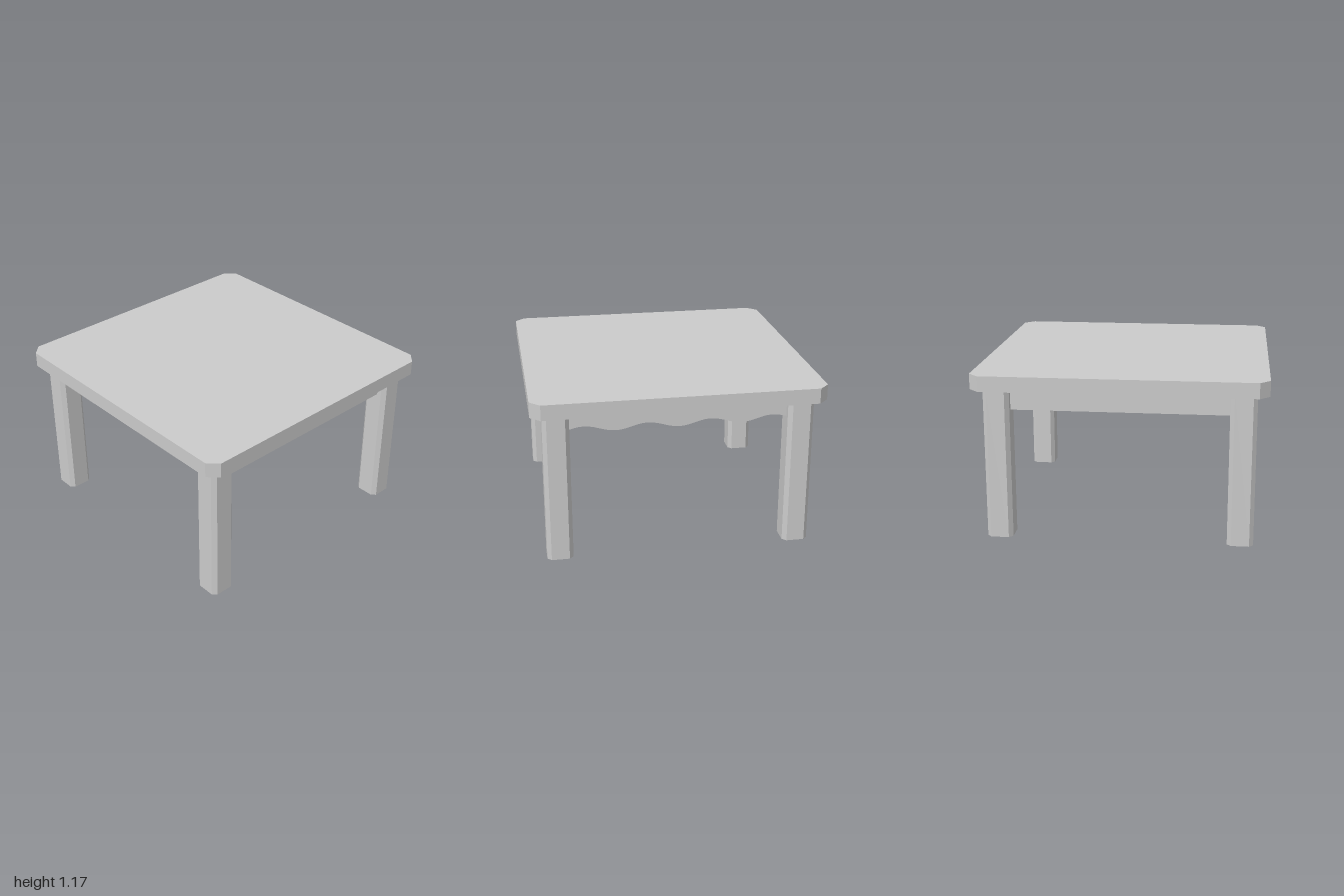
import * as THREE from 'three';

const material = new THREE.MeshStandardMaterial({ color: 0xcccccc, flatShading: true });

// Upright square prism with bevelled corners, standing on y = bottom
function bevelledPrism(name, half, bevel, bottom, top) {
  const h = half, k = half - bevel;
  const shape = new THREE.Shape(
    [[k, -h], [h, -k], [h, k], [k, h], [-k, h], [-h, k], [-h, -k], [-k, -h]]
      .map(([x, y]) => new THREE.Vector2(x, y)));
  const geometry = new THREE.ExtrudeGeometry(shape, { depth: top - bottom, bevelEnabled: false });
  geometry.rotateX(-Math.PI / 2).translate(0, bottom, 0);
  const mesh = new THREE.Mesh(geometry, material);
  mesh.name = name;
  return mesh;
}

// Solid apron block whose underside ripples along x
function waveApron(half, top, middle, amplitude, waves) {
  const points = [];
  const steps = waves * 12;
  for (let i = 0; i <= steps; i++) {
    const t = i / steps;
    points.push(new THREE.Vector2(
      (2 * t - 1) * half, middle - amplitude * Math.cos(t * waves * Math.PI * 2)));
  }
  points.push(new THREE.Vector2(half, top), new THREE.Vector2(-half, top));
  const geometry = new THREE.ExtrudeGeometry(new THREE.Shape(points),
    { depth: half * 2, bevelEnabled: false });
  geometry.translate(0, 0, -half);
  const mesh = new THREE.Mesh(geometry, material);
  mesh.name = 'apron';
  return mesh;
}

export function createModel() {
  const table = new THREE.Group();
  table.name = 'table';

  table.add(bevelledPrism('tableTop', 1, 0.07, 1.06, 1.167));
  table.add(waveApron(0.86, 1.06, 0.927, 0.021, 4));

  // Four legs, one per corner
  for (const [side, x] of [['Left', 1], ['Right', -1]]) {
    for (const [end, z] of [['front', 1], ['back', -1]]) {
      const leg = bevelledPrism(`${end}${side}Leg`, 0.09, 0.028, 0, 1.06);
      leg.position.set(x * 0.832, 0, z * 0.832);
      table.add(leg);
    }
  }
  return table;
}
